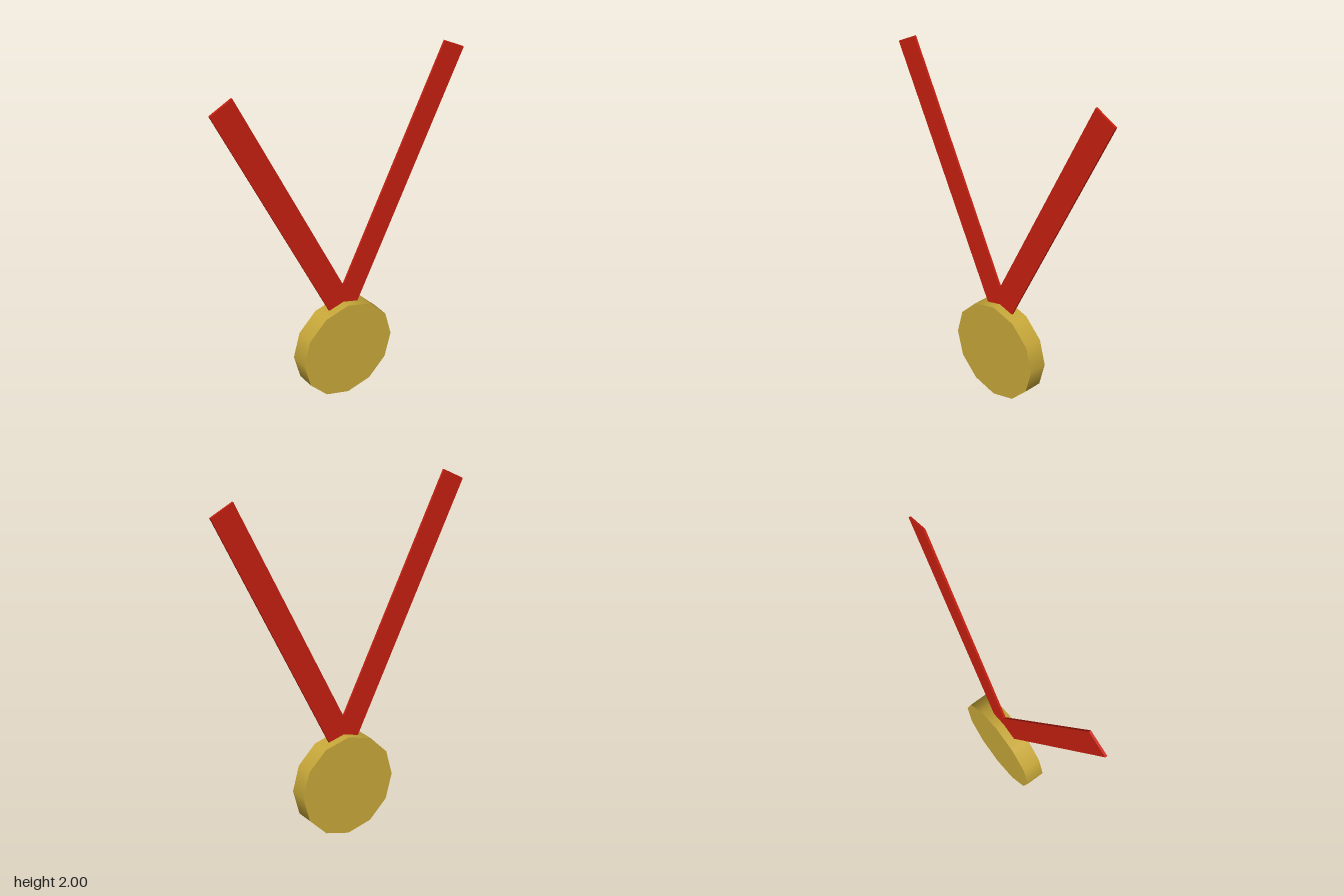
import * as THREE from 'three';

export function createModel() {
  const model = new THREE.Group();
  model.name = 'medal';
  const gold = new THREE.MeshStandardMaterial({ color: 0xc9a93a });
  const red = new THREE.MeshStandardMaterial({ color: 0xc92010 });

  // Twelve-sided disc with a smooth-shaded rim, a corner pointing up
  const radius = 0.295;
  const disc = new THREE.Mesh(new THREE.CylinderGeometry(radius, radius, 0.11, 12), gold);
  disc.name = 'disc';
  disc.rotation.x = Math.PI / 2;
  disc.position.y = radius;
  model.add(disc);

  // Two flat ribbon straps that spread into a V from inside the disc's rim
  const bottom = new THREE.Vector2(0, 0.537);
  const top = new THREE.Vector2(0.715, 1.968);
  const middle = bottom.clone().add(top).multiplyScalar(0.5);
  const lean = Math.atan2(top.x - bottom.x, top.y - bottom.y);
  const strapGeometry = new THREE.BoxGeometry(0.145, bottom.distanceTo(top), 0.012);
  for (const side of [1, -1]) {
    const strap = new THREE.Mesh(strapGeometry, red);
    strap.name = side > 0 ? 'leftRibbon' : 'rightRibbon';
    strap.position.set(side * middle.x, middle.y, 0);
    strap.rotation.z = -side * lean;
    model.add(strap);
  }
  return model;
}
